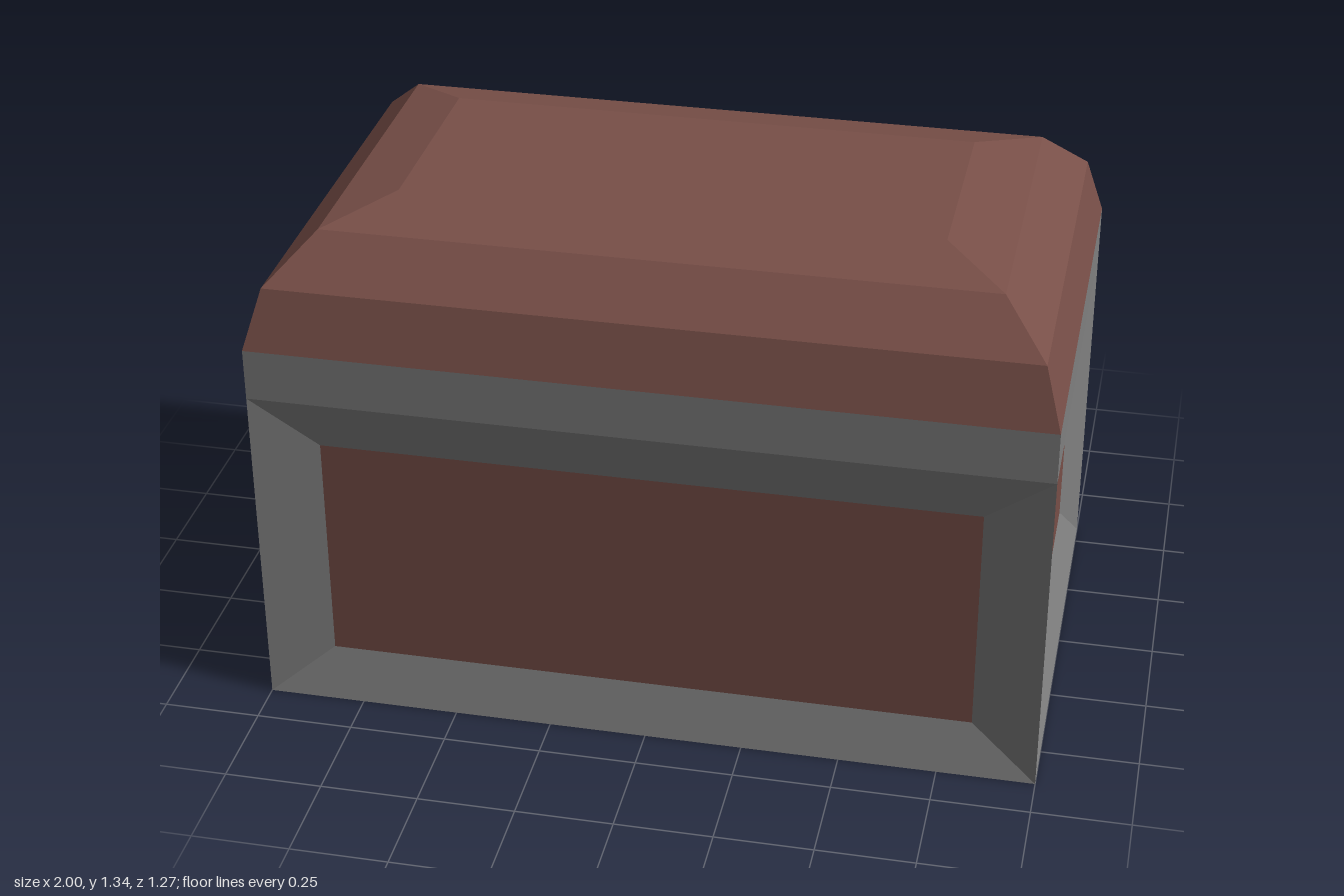
import * as THREE from 'three';

const wood = new THREE.MeshStandardMaterial({ name: 'brown wood', color: 0x784f48, flatShading: true });
const iron = new THREE.MeshStandardMaterial({ name: 'grey iron', color: 0x808080, flatShading: true });
const gold = new THREE.MeshStandardMaterial({ name: 'yellow gold', color: 0xe3d212, flatShading: true });
const black = new THREE.MeshStandardMaterial({ name: 'black keyhole', color: 0x0c0c0c, flatShading: true });

const HX = 1, HZ = 0.6, RIM_LOW = 0.885, RIM_TOP = 1.02;

// Mesh from four-cornered faces, corners counter-clockwise from outside
function quadMesh(name, quads, material) {
  const points = quads.flatMap(([a, b, c, d]) => [a, b, c, a, c, d]);
  const geometry = new THREE.BufferGeometry();
  geometry.setAttribute('position', new THREE.Float32BufferAttribute(points.flat(), 3));
  geometry.computeVertexNormals();
  const mesh = new THREE.Mesh(geometry, material);
  mesh.name = name;
  return mesh;
}

// Rectangular ring at a height, counter-clockwise seen from above
const ring = (y, hx, hz) => [[-hx, y, hz], [hx, y, hz], [hx, y, -hz], [-hx, y, -hz]];

// Four faces bridging two loops of four corners
const bridge = (a, b) => a.map((p, i) => [p, a[(i + 1) % 4], b[(i + 1) % 4], b[i]]);

const rect = (x, y0, y1) => [[-x, y0], [x, y0], [x, y1], [-x, y1]];

// Bevelled iron border around a sunken wooden panel
function framedSide(name, outer, inner, depth, place) {
  const side = new THREE.Group();
  side.name = name;
  const edge = outer.map(([u, v]) => place(u, v, 0));
  const panel = inner.map(([u, v]) => place(u, v, depth));
  side.add(quadMesh('ironBorder', bridge(edge, panel), iron));
  side.add(quadMesh('woodPanel', [panel], wood));
  return side;
}

function createLock() {
  const lock = new THREE.Group();
  lock.name = 'lock';
  // Gold frame with a rectangular slot
  const shape = new THREE.Shape(rect(0.18, -0.11, 0.11).map(p => new THREE.Vector2(...p)));
  shape.holes.push(new THREE.Path(rect(0.125, -0.06, 0.06).reverse().map(p => new THREE.Vector2(...p))));
  const frame = new THREE.Mesh(new THREE.ExtrudeGeometry(shape, { depth: 0.105, bevelEnabled: false }), gold);
  frame.name = 'lockFrame';
  frame.position.set(0, 0.89, -0.67);
  lock.add(frame);
  // Dark plate inside the slot
  const slot = new THREE.Mesh(new THREE.BoxGeometry(0.25, 0.12, 0.008), black);
  slot.name = 'keyhole';
  slot.position.set(0, 0.89, -0.632);
  lock.add(slot);
  return lock;
}

export function createModel() {
  const chest = new THREE.Group();
  chest.name = 'chest';

  // Body sides and underside
  const longOuter = rect(HX, 0, RIM_LOW), longInner = rect(0.83, 0.14, 0.75);
  const shortOuter = rect(HZ, 0, RIM_LOW), shortInner = rect(0.455, 0.14, 0.75);
  chest.add(
    framedSide('frontSide', longOuter, longInner, 0.035, (u, v, d) => [u, v, HZ - d]),
    framedSide('backSide', longOuter, longInner, 0.035, (u, v, d) => [-u, v, d - HZ]),
    framedSide('leftSide', shortOuter, shortInner, 0.045, (u, v, d) => [HX - d, v, -u]),
    framedSide('rightSide', shortOuter, shortInner, 0.045, (u, v, d) => [d - HX, v, u]),
    framedSide('underside', rect(HX, -HZ, HZ), rect(0.872, -0.478, 0.478), 0, (u, v, d) => [u, d, v])
  );

  // Upright iron rim
  chest.add(quadMesh('rim', bridge(ring(RIM_LOW, HX, HZ), ring(RIM_TOP, HX, HZ)), iron));

  // Faceted domed lid
  const levels = [[RIM_TOP, 1, 0.6], [1.175, 0.955, 0.556], [1.29, 0.84, 0.44], [1.335, 0.68, 0.278]]
    .map(level => ring(...level));
  const lidFaces = levels.slice(1).flatMap((upper, i) => bridge(levels[i], upper));
  lidFaces.push(levels[levels.length - 1]);
  chest.add(quadMesh('lid', lidFaces, wood));

  chest.add(createLock());
  chest.position.z = 0.035;

  const model = new THREE.Group();
  model.name = 'treasureChest';
  model.add(chest);
  return model;
}
